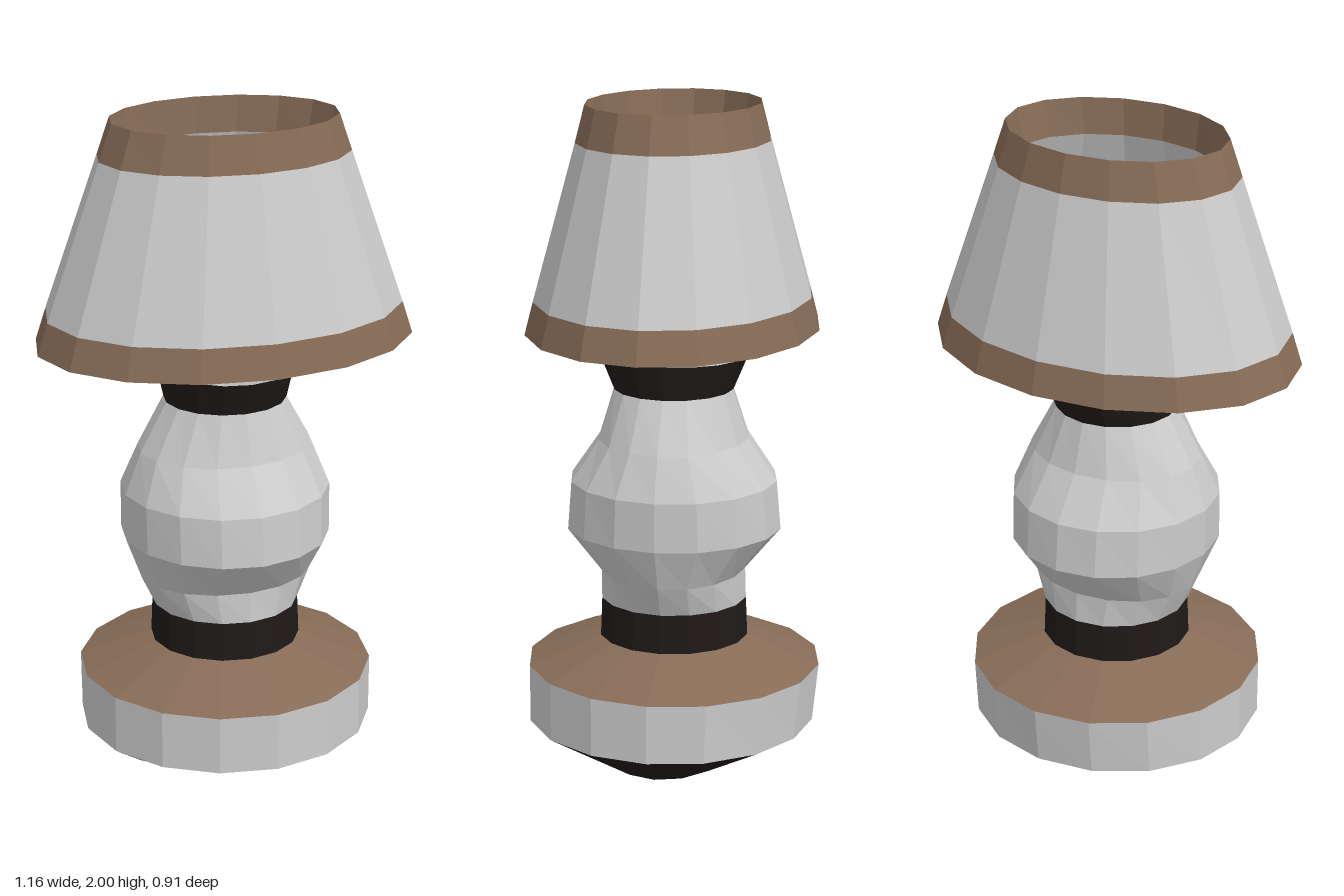
import * as THREE from 'three';

const SIDES = 16;
const material = (color) => new THREE.MeshStandardMaterial({ color, flatShading: true });
const grey = material(0xcccccc);
const brown = material(0x876c57);
const black = material(0x1f1a18);
const yellow = material(0xe6dc50);

// Sixteen-sided loft through elliptical rings [y, x radius, z radius, back z radius].
// Rings that run upwards face outwards, rings that run downwards face inwards.
function loft(name, mat, rings) {
  const geo = new THREE.LatheGeometry(rings.map(([y]) => new THREE.Vector2(1, y)), SIDES);
  const pos = geo.attributes.position;
  for (let i = 0; i < pos.count; i++) {
    const [, rx, rz, back = rz] = rings[i % rings.length];
    const z = pos.getZ(i);
    pos.setX(i, pos.getX(i) * rx);
    pos.setZ(i, z * (z < 0 ? back : rz));
  }
  geo.computeVertexNormals();
  const mesh = new THREE.Mesh(geo, mat);
  mesh.name = name;
  return mesh;
}

export function createModel() {
  const lamp = new THREE.Group();
  lamp.name = 'tableLamp';

  // Foot
  lamp.add(
    loft('footUnderside', black, [[0, 0, 0], [0, 0.33, 0.21], [0.1, 0.453, 0.453, 0.435]]),
    loft('footRim', grey, [[0.1, 0.453, 0.453, 0.435], [0.28, 0.453, 0.453]]),
    loft('footTop', brown, [[0.28, 0.453, 0.453], [0.365, 0.23, 0.23]]),
  );

  // Turned body with its dark rings
  lamp.add(
    loft('lowerRing', black, [[0.365, 0.23, 0.23], [0.485, 0.225, 0.225]]),
    loft('body', grey, [
      [0.485, 0.225, 0.225], [0.58, 0.27, 0.222], [0.71, 0.318, 0.33],
      [0.86, 0.32, 0.317], [0.99, 0.27, 0.228], [1.14, 0.187, 0.182],
    ]),
    loft('collar', black, [[1.14, 0.187, 0.182], [1.245, 0.207, 0.226]]),
  );

  // Wedge-shaped cap, narrowing to a dark slot that holds the bulb
  lamp.add(
    loft('cap', grey, [[1.245, 0.207, 0.226], [1.345, 0.06, 0.226]]),
    loft('socket', black, [[1.345, 0.06, 0.226], [1.345, 0, 0]]),
    loft('bulb', yellow, [
      [1.345, 0.05, 0.05], [1.385, 0.095, 0.095], [1.46, 0.12, 0.12],
      [1.65, 0.135, 0.135], [1.82, 0.135, 0.135], [1.9, 0, 0],
    ]),
  );

  // Open oval shade: outer wall and inner wall, each with a band at both rims
  const shade = new THREE.Group();
  shade.name = 'shade';
  const walls = {
    outer: [[1.33, 0.582, 0.44], [1.427, 0.55, 0.415], [1.89, 0.385, 0.288], [2, 0.346, 0.26]],
    inner: [[2, 0.346, 0.26], [1.89, 0.325, 0.25], [1.4, 0.535, 0.405], [1.33, 0.582, 0.44]],
  };
  for (const [side, rings] of Object.entries(walls)) {
    const ends = side === 'outer' ? ['Bottom', 'Top'] : ['Top', 'Bottom'];
    shade.add(
      loft(side + ends[0] + 'Band', brown, rings.slice(0, 2)),
      loft(side + 'Wall', grey, rings.slice(1, 3)),
      loft(side + ends[1] + 'Band', brown, rings.slice(2, 4)),
    );
  }
  lamp.add(shade);
  return lamp;
}
